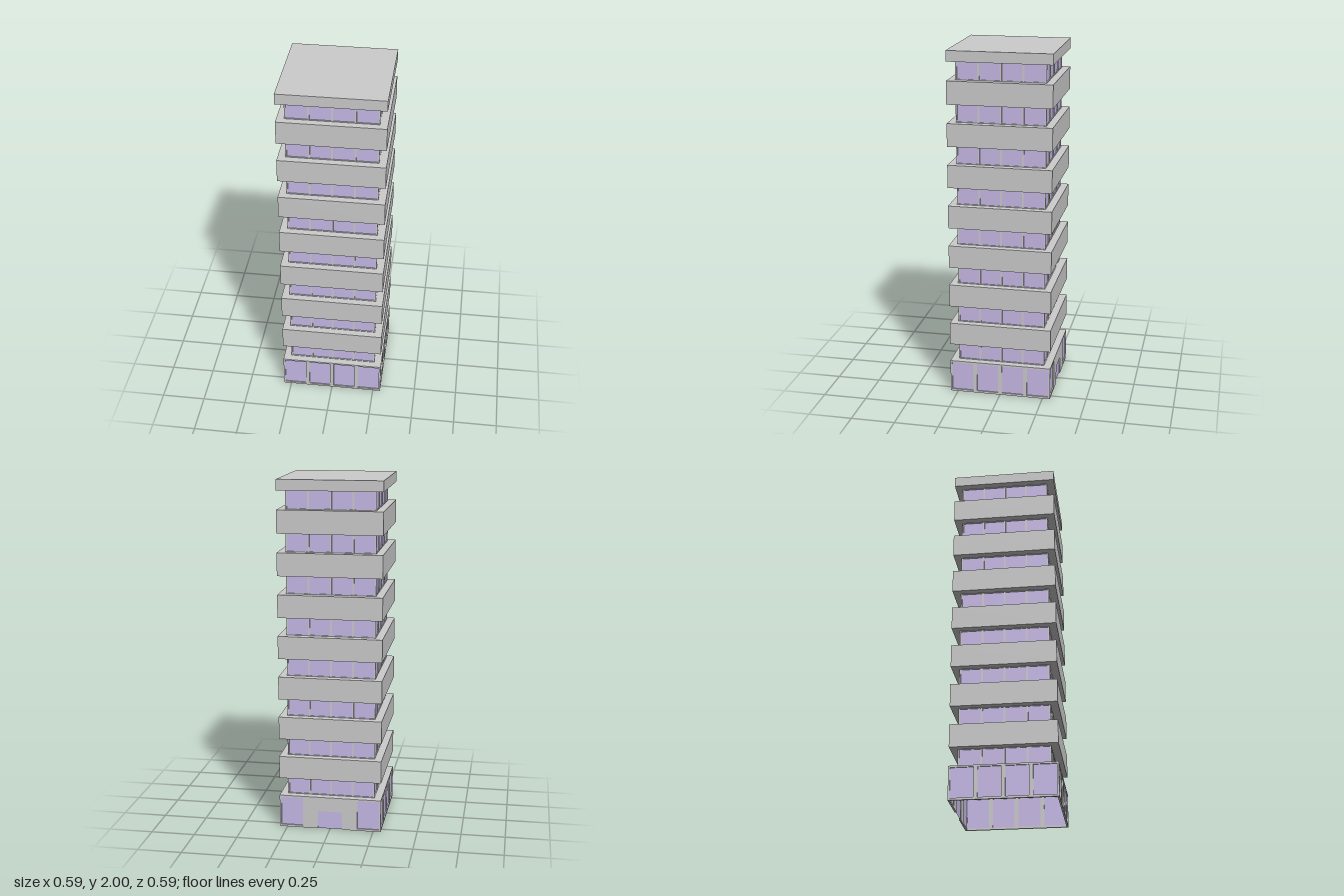
import * as THREE from 'three';

const grey = new THREE.MeshStandardMaterial({ color: 0xcccccc, side: THREE.DoubleSide });
const glass = new THREE.MeshStandardMaterial({ color: 0xc7b9e7, side: THREE.DoubleSide });

const OUTER = 0.294;   // half width of ground floor, bands and roof
const INNER = 0.252;   // half width of the set-back window storeys
const GROUND = 0.19;   // height of the ground floor
const PITCH = 0.235;   // storey to storey
const WINDOW = 0.105;  // height of a window strip
const STOREYS = 8;

function rect(path, x0, y0, x1, y1) {
  path.moveTo(x0, y0);
  path.lineTo(x1, y0);
  path.lineTo(x1, y1);
  path.lineTo(x0, y1);
  path.closePath();
  return path;
}

// Square ring lying flat, open in the middle
function ring(name, half, hole, y, height) {
  const shape = rect(new THREE.Shape(), -half, -half, half, half);
  shape.holes.push(rect(new THREE.Path(), -hole, -hole, hole, hole));
  const geo = new THREE.ExtrudeGeometry(shape, { depth: height, bevelEnabled: false });
  geo.rotateX(-Math.PI / 2);
  const mesh = new THREE.Mesh(geo, grey);
  mesh.name = name;
  mesh.position.y = y;
  return mesh;
}

// Framed wall facing +z, with a recessed pane in each opening [x0, y0, x1, y1]
function wall(name, half, height, thick, openings, door) {
  const group = new THREE.Group();
  group.name = name;
  let shape = rect(new THREE.Shape(), -half, 0, half, height);
  if (door) {
    const [w, h] = door;
    shape = new THREE.Shape([
      [-half, 0], [-w, 0], [-w, h], [w, h], [w, 0], [half, 0], [half, height], [-half, height],
    ].map(([x, y]) => new THREE.Vector2(x, y)));
  }
  for (const o of openings) shape.holes.push(rect(new THREE.Path(), ...o));
  const frame = new THREE.Mesh(
    new THREE.ExtrudeGeometry(shape, { depth: thick, bevelEnabled: false }), grey);
  frame.name = 'wallFrame';
  frame.position.z = half - thick;
  group.add(frame);

  const addPane = (paneName, [x0, y0, x1, y1]) => {
    const pane = new THREE.Mesh(new THREE.PlaneGeometry(x1 - x0, y1 - y0), glass);
    pane.name = paneName;
    pane.position.set((x0 + x1) / 2, (y0 + y1) / 2, half - thick * 0.7);
    group.add(pane);
  };
  openings.forEach((o) => addPane('windowPane', o));
  if (door) addPane('doorPane', [-door[0], 0, door[0], door[1]]);
  return group;
}

// Four equal openings across a wall
function fourOpenings(edge, gap, y0, y1) {
  const w = (2 * edge - 3 * gap) / 4;
  return [0, 1, 2, 3].map((i) => {
    const x = -edge + i * (w + gap);
    return [x, y0, x + w, y1];
  });
}

export function createModel() {
  const tower = new THREE.Group();
  tower.name = 'officeTower';

  // Ground floor: four shopfront walls, the back one with a door
  const shopWindows = fourOpenings(0.284, 0.022, 0.012, 0.18);
  const ground = new THREE.Group();
  ground.name = 'groundFloor';
  for (let i = 0; i < 4; i++) {
    const back = i === 2;
    const side = wall(back ? 'backEntranceWall' : 'shopfrontWall', OUTER, GROUND - 0.008, 0.01,
      back ? [shopWindows[0], shopWindows[3]] : shopWindows, back ? [0.07, 0.105] : null);
    side.rotation.y = i * Math.PI / 2;
    ground.add(side);
  }
  ground.add(ring('groundLedge', OUTER, 0.215, GROUND - 0.008, 0.008));
  tower.add(ground);

  // Set-back window strips with an overhanging band above each
  const stripWindows = fourOpenings(INNER - 0.008, 0.01, 0.003, WINDOW - 0.003);
  for (let s = 0; s < STOREYS; s++) {
    const y = GROUND + s * PITCH;
    const storey = new THREE.Group();
    storey.name = 'windowStorey';
    storey.position.y = y;
    for (let i = 0; i < 4; i++) {
      const side = wall('windowWall', INNER, WINDOW, 0.008, stripWindows);
      side.rotation.y = i * Math.PI / 2;
      storey.add(side);
    }
    tower.add(storey);
    if (s < STOREYS - 1) {
      tower.add(ring('floorBand', OUTER, 0.24, y + WINDOW, PITCH - WINDOW));
    }
  }

  // Flat roof slab
  const roofBase = GROUND + (STOREYS - 1) * PITCH + WINDOW;
  const roof = new THREE.Mesh(
    new THREE.BoxGeometry(2 * OUTER, 2 - roofBase, 2 * OUTER), grey);
  roof.name = 'roofSlab';
  roof.position.y = (2 + roofBase) / 2;
  tower.add(roof);

  return tower;
}
